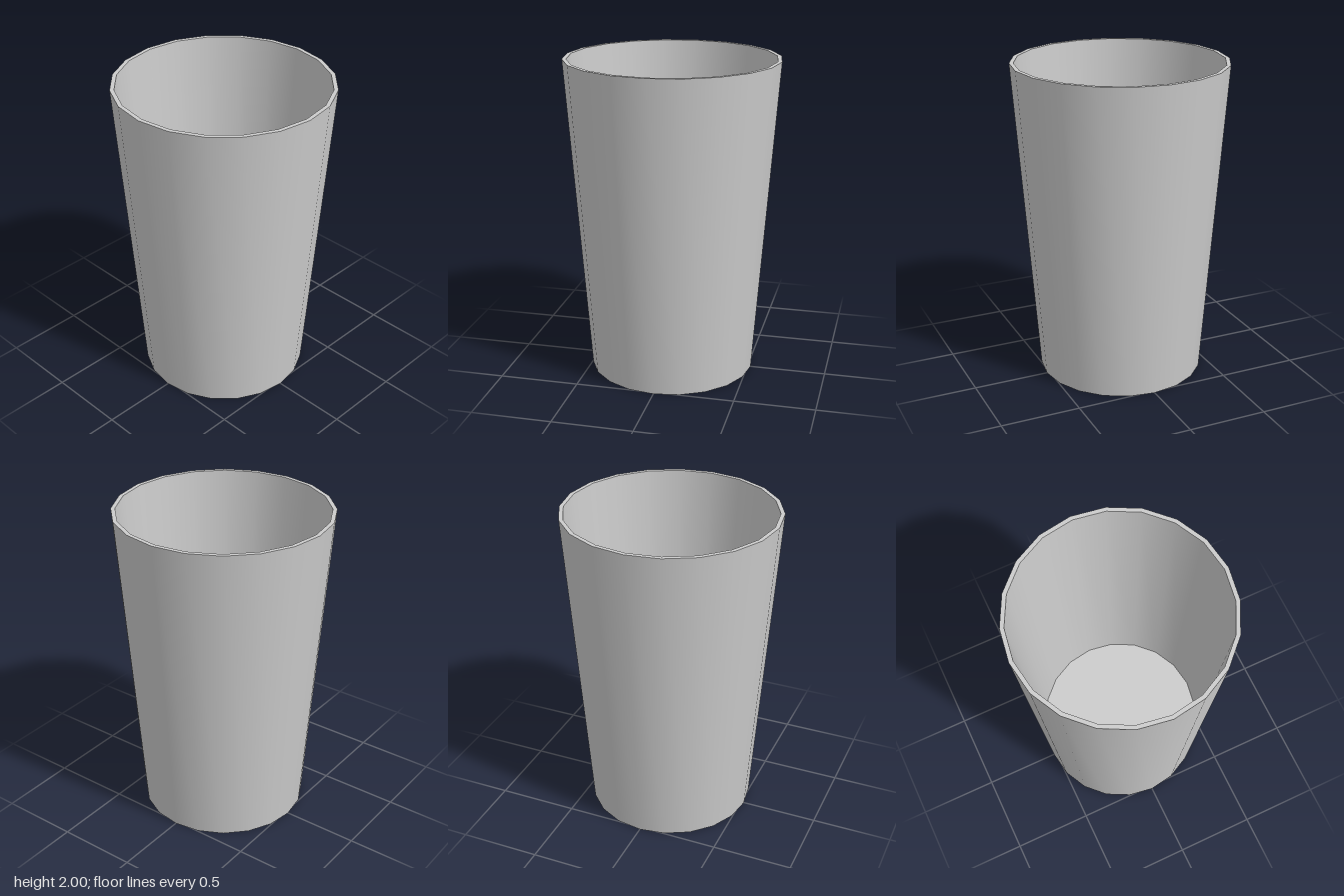
import * as THREE from 'three';

const SIDES = 20;

// Closed section of the tumbler [radius, height], from the base centre round to the floor centre
const PROFILE = [
  ['base', 0, 0],
  ['outerWall', 0.52, 0],
  ['rim', 0.668, 2],
  ['innerWall', 0.642, 2],
  ['floor', 0.514, 0.27],
  ['end', 0, 0.27],
];

export function createModel() {
  const tumbler = new THREE.Group();
  tumbler.name = 'tumbler';
  const material = new THREE.MeshStandardMaterial({ color: 0xcccccc });

  // Each section is turned separately: walls shade smoothly, edges between them stay sharp
  for (let i = 0; i < PROFILE.length - 1; i++) {
    const [name, r0, y0] = PROFILE[i];
    const [, r1, y1] = PROFILE[i + 1];
    const section = [new THREE.Vector2(r0, y0), new THREE.Vector2(r1, y1)];
    const mesh = new THREE.Mesh(new THREE.LatheGeometry(section, SIDES), material);
    mesh.name = name;
    tumbler.add(mesh);
  }
  return tumbler;
}
